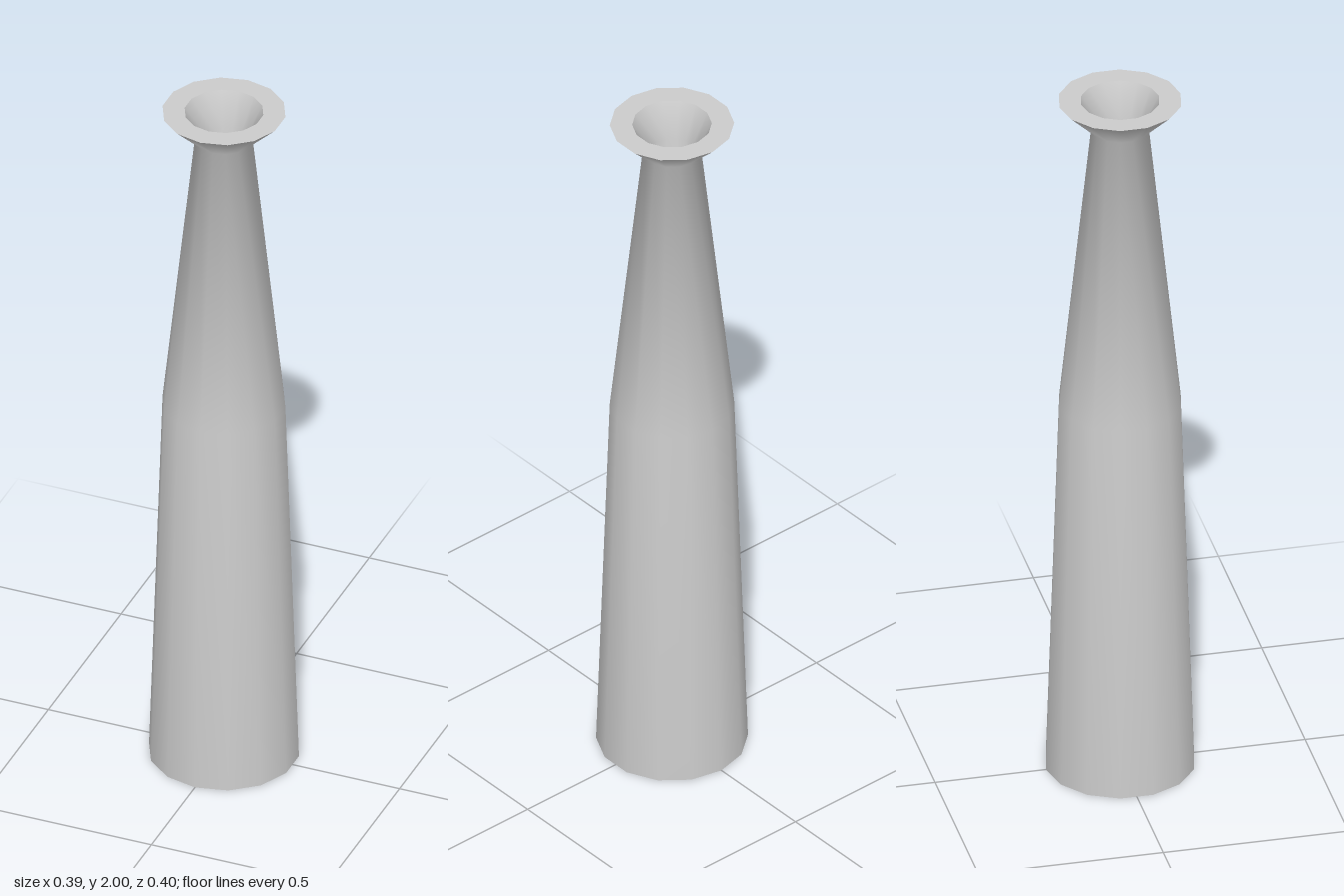
import * as THREE from 'three';
import { toCreasedNormals } from 'three/addons/utils/BufferGeometryUtils.js';

const SIDES = 14;

// Turns a list of [radius, height] pairs into a softly shaded 14-sided solid
function turned(profile) {
  const points = profile.map(([r, y]) => new THREE.Vector2(r, y));
  return toCreasedNormals(new THREE.LatheGeometry(points, SIDES), 1.0);
}

export function createModel() {
  const group = new THREE.Group();
  group.name = 'bottle';
  const material = new THREE.MeshStandardMaterial({ color: 0xcccccc });

  // Base, tapering body, long neck and flared lip
  const outside = [[0, 0], [0.2, 0], [0.164, 1.09], [0.077, 1.915], [0.164, 2]];
  // Flat rim, funnel mouth and hollow inside down to the floor
  const inside = [[0.105, 2], [0.06, 1.91], [0.13, 1.09], [0.16, 0.04], [0, 0.04]];

  const body = new THREE.Mesh(turned([...outside, ...inside]), material);
  body.name = 'bottleBody';
  group.add(body);
  return group;
}
